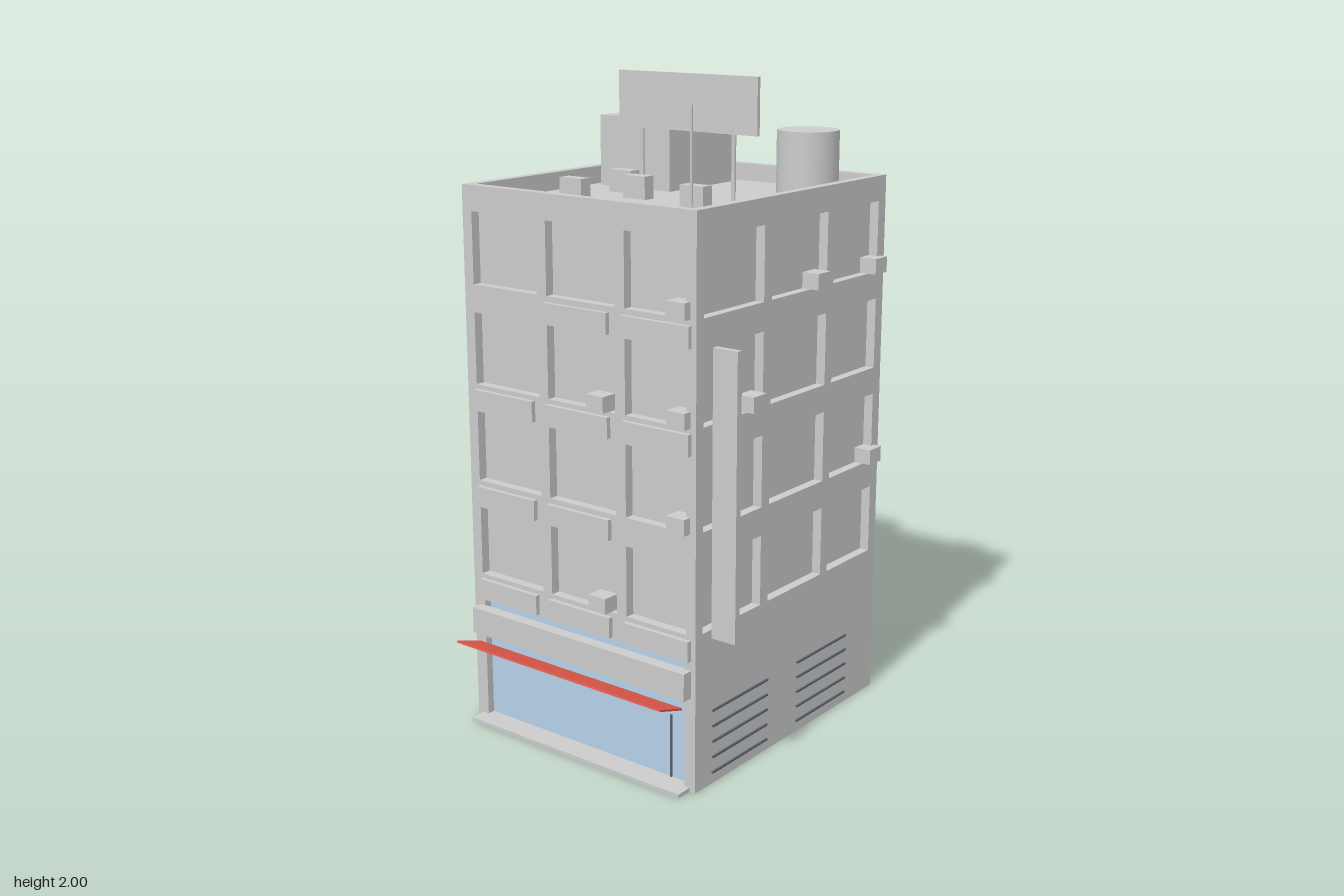
import * as THREE from 'three';

const mat = (color) => new THREE.MeshStandardMaterial({ color, flatShading: true });
const grey = mat(0xcccccc), glass = mat(0xb5d0e8), red = mat(0xe0584c), slate = mat(0x5a6672);

// Outer faces of the tower, wall thickness (also the window recess depth) and levels
const X0 = -0.463, X1 = 0.404, Z0 = -0.526, Z1 = 0.43, T = 0.03;
const ROOF = 1.635, TOP = 1.69;
const ROWS = [[1.395, 1.613], [1.09, 1.31], [0.787, 1.005], [0.484, 0.70]];
const COLS_X = [[-0.427, -0.172], [-0.137, 0.116], [0.153, 0.37]];
const COLS_Z = [[-0.487, -0.243], [-0.206, 0.077], [0.116, 0.397]];

export function createModel() {
  const model = new THREE.Group();
  model.name = 'apartmentBlock';

  const add = (name, geometry, material = grey) => {
    const mesh = new THREE.Mesh(geometry, material);
    mesh.name = name;
    model.add(mesh);
    return mesh;
  };
  // Box given by its minimum and maximum on each axis
  const box = (name, x0, x1, y0, y1, z0, z1, material) => {
    const mesh = add(name, new THREE.BoxGeometry(x1 - x0, y1 - y0, z1 - z0), material);
    mesh.position.set((x0 + x1) / 2, (y0 + y1) / 2, (z0 + z1) / 2);
    return mesh;
  };
  const rod = (name, x, z, y0, y1, r, sides = 8) => {
    const mesh = add(name, new THREE.CylinderGeometry(r, r, y1 - y0, sides));
    mesh.position.set(x, (y0 + y1) / 2, z);
    return mesh;
  };

  const rectangle = (target, u0, u1, v0, v1) => {
    target.moveTo(u0, v0);
    target.lineTo(u1, v0);
    target.lineTo(u1, v1);
    target.lineTo(u0, v1);
    target.closePath();
    return target;
  };
  // Wall panel pierced by a grid of windows
  const wall = (name, u0, u1, columns, openings = []) => {
    const shape = rectangle(new THREE.Shape(), u0, u1, 0, TOP);
    for (const [a, b] of columns) {
      for (const [c, d] of ROWS) shape.holes.push(rectangle(new THREE.Path(), a, b, c, d));
    }
    for (const o of openings) shape.holes.push(rectangle(new THREE.Path(), ...o));
    return add(name, new THREE.ExtrudeGeometry(shape, { depth: T, bevelEnabled: false }));
  };

  // Core behind the walls: its sides are the window panes and its top the roof
  box('core', X0 + T, X1 - T, 0, ROOF, Z0 + T, Z1 - T);
  wall('frontWall', X0, X1, COLS_X, [[-0.42, 0.365, 0.012, 0.397]]).position.z = Z1 - T;
  wall('backWall', X0, X1, COLS_X).position.z = Z0;
  for (const [name, x] of [['leftWall', X1], ['rightWall', X0 + T]]) {
    const side = wall(name, Z0 + T, Z1 - T, COLS_Z);
    side.rotation.y = -Math.PI / 2;
    side.position.x = x;
  }

  // Ground floor shop
  box('shopWindow', -0.42, 0.365, 0.012, 0.397, Z1 - T, Z1 - T + 0.006, glass);
  box('doorEdge', 0.297, 0.302, 0.012, 0.21, Z1 - T, Z1 - T + 0.01, slate);
  box('shopStep', -0.442, 0.384, 0, 0.012, Z1 - T, 0.482);
  box('shopFascia', -0.442, 0.388, 0.294, 0.378, Z1 - 0.005, 0.463);
  const awning = box('awning', -0.428, 0.372, 0.276, 0.282, 0.448, 0.552, red);
  awning.rotation.x = -0.31;

  // Balcony panels under the front windows
  const panelX = [[-0.427, -0.19], [-0.14, 0.098], [0.15, 0.388]];
  const panels = [[1.315, [1, 2]], [1.013, [0, 1, 2]], [0.708, [0, 1]], [0.407, [0, 1, 2]]];
  for (const [y, columns] of panels) {
    for (const c of columns) box('balconyPanel', ...panelX[c], y, y + 0.063, Z1 - 0.005, 0.445);
  }

  // Window air conditioners: [position along the wall, window row]
  const W = 0.032, H = 0.048;
  const unitsOn = (list, place) => {
    for (const [u, row] of list) {
      const y = ROWS[row][0];
      box('airConditioner', ...place(u, y));
    }
  };
  unitsOn([[0.352, 0], [0.062, 1], [0.352, 1], [0.352, 2], [0.062, 3]],
    (u, y) => [u - W, u + W, y, y + H, Z1 - T, 0.457]);
  unitsOn([[-0.228, 0], [0.352, 1], [0.062, 1], [-0.228, 1], [0.062, 2], [0.062, 3]],
    (u, y) => [u - W, u + W, y, y + H, -0.552, Z0 + T]);
  unitsOn([[-0.152, 0], [-0.469, 0], [0.166, 1], [-0.469, 2]],
    (u, y) => [X1 - T, 0.431, y, y + H, u - W, u + W]);
  unitsOn([[-0.471, 1], [0.166, 2]],
    (u, y) => [-0.49, X0 + T, y, y + H, u - W, u + W]);

  // Ventilation louvres on both sides
  for (const x of [X0, X1]) {
    for (const [z0, z1] of [[0.075, 0.35], [-0.36, -0.083]]) {
      for (let i = 0; i < 5; i++) {
        const y = 0.036 + i * 0.049;
        box('louvre', x - 0.006, x + 0.006, y - 0.003, y + 0.003, z0, z1, slate);
      }
    }
  }

  // Upright blade sign board
  box('bladeSign', X1, 0.487, 0.457, 1.307, 0.335, 0.355);

  // Stair house with its door
  box('stairHouse', -0.402, -0.126, ROOF, 1.855, -0.474, -0.127);
  box('stairDoor', -0.407, -0.4, ROOF, 1.79, -0.343, -0.258, slate);

  // Water tank
  const tank = rod('waterTank', 0.231, -0.352, ROOF, 1.83, 0.095, 32);
  tank.material = new THREE.MeshStandardMaterial({ color: 0xcccccc });

  // Billboard on two posts, and the aerial
  box('billboard', -0.289, 0.231, 1.83, 2, -0.097, -0.085);
  for (const x of [-0.203, 0.143]) rod('billboardPost', x, -0.091, ROOF, 1.87, 0.007);
  rod('aerial', 0.318, 0.342, ROOF, 1.955, 0.004);

  // Rooftop air conditioners
  for (const [x, z] of [[-0.237, -0.044], [-0.115, 0.038], [0.156, 0.11], [-0.228, 0.196]]) {
    box('roofUnit', x - 0.042, x + 0.042, ROOF, 1.704, z - 0.021, z + 0.021);
  }
  return model;
}
